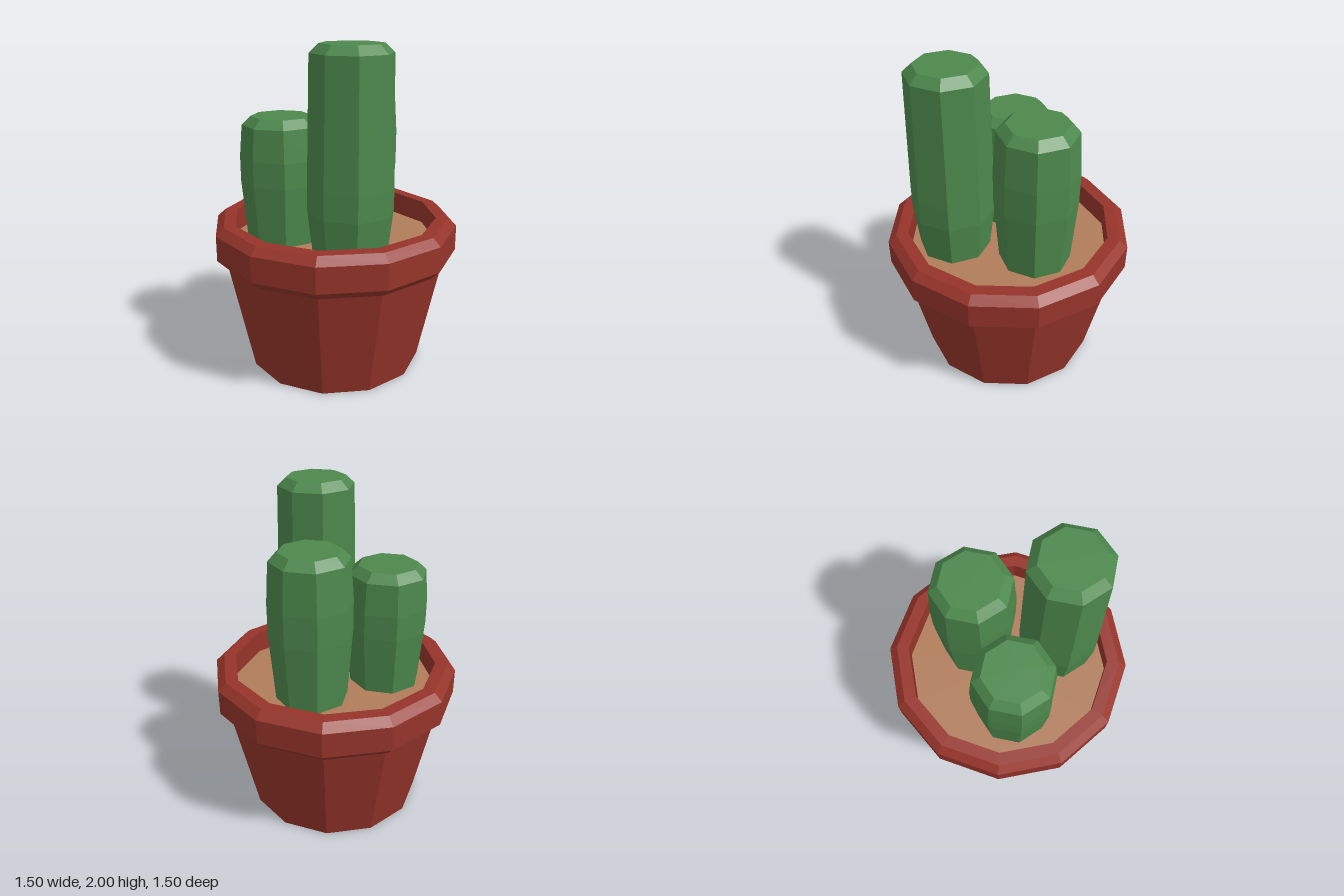
import * as THREE from 'three';

const paint = (color) => new THREE.MeshStandardMaterial({ color, flatShading: true });

// Faceted solid of revolution; profile is [radius, height] from bottom to top
function turned(name, profile, sides, material) {
  const points = profile.map(([r, y]) => new THREE.Vector2(r, y));
  const mesh = new THREE.Mesh(new THREE.LatheGeometry(points, sides), material);
  mesh.name = name;
  return mesh;
}

export function createModel() {
  const group = new THREE.Group();
  group.name = 'pottedCacti';
  const clay = paint(0x96342a);
  const green = paint(0x4c884c);
  const earth = paint(0xb07c5a);
  const soilY = 0.8;

  // Tapered pot body with a closed base
  group.add(turned('potBody', [[0, 0], [0.54, 0], [0.685, 0.69]], 12, clay));

  // Bevelled rim, running over the top and down inside to the soil
  group.add(turned('potRim', [
    [0.625, 0.69], [0.7, 0.69], [0.75, 0.74], [0.75, 0.895],
    [0.7, 0.94], [0.625, 0.94], [0.625, soilY - 0.02],
  ], 12, clay));

  // Soil disc
  const soil = new THREE.Mesh(new THREE.CircleGeometry(0.626, 12), earth);
  soil.name = 'soil';
  soil.rotation.x = -Math.PI / 2;
  soil.position.y = soilY;
  group.add(soil);

  // Three eight-sided cacti; low and high bound the widest band
  const cacti = [
    { name: 'tallCactus', x: -0.2, z: 0.272, top: 2.0, low: 1.07, high: 1.22 },
    { name: 'mediumCactus', x: 0.235, z: 0, top: 1.72, low: 1.22, high: 1.42 },
    { name: 'shortCactus', x: -0.205, z: -0.243, top: 1.56, low: 1.17, high: 1.32 },
  ];
  for (const { name, x, z, top, low, high } of cacti) {
    const cactus = turned(name, [
      [0, soilY - 0.01], [0.218, soilY - 0.01], [0.25, low], [0.25, high],
      [0.233, top - 0.05], [0.18, top], [0, top],
    ], 8, green);
    cactus.position.set(x, 0, z);
    group.add(cactus);
  }
  return group;
}
